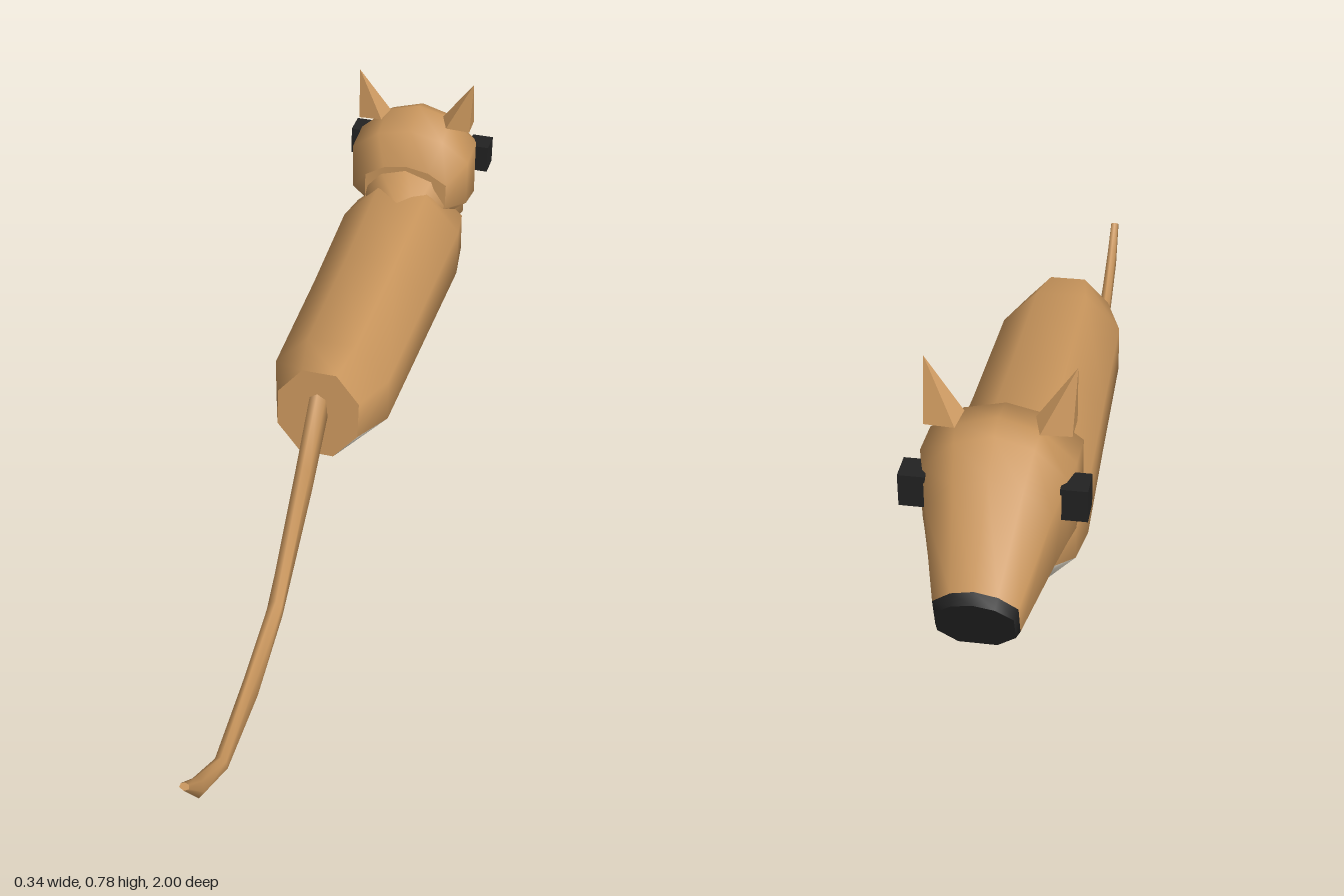
import * as THREE from 'three';

const FUR = new THREE.MeshStandardMaterial({ color: 0xc8955c });
const BELLY = new THREE.MeshStandardMaterial({ color: 0xd6cfc0 });
const DARK = new THREE.MeshStandardMaterial({ color: 0x222222 });

// Cross-sections (counter-clockwise seen from +z), unit half width and half height
const OCTAGON = [[1, -0.4], [1, 0.4], [0.42, 1], [-0.42, 1], [-1, 0.4], [-1, -0.4], [-0.42, -1], [0.42, -1]];
const PEAKED = [[1, -0.5], [1, 0.45], [0.55, 0.85], [0, 1], [-0.55, 0.85], [-1, 0.45], [-1, -0.5], [-0.5, -1], [0.5, -1]];
const HEXAGON = [[1, -0.3], [0.8, 0.7], [0, 1], [-0.8, 0.7], [-1, -0.3], [0, -1]];

// Points of one ring: [top z, top y, bottom z, bottom y, half width]
function ringPoints([tz, ty, bz, by, hw], section) {
  return section.map(([u, v]) => {
    const t = (v + 1) / 2;
    return [u * hw, by + (ty - by) * t, bz + (tz - bz) * t];
  });
}

// Smooth skin over rings that run towards -z; keep(j) selects the strips to show
function skin(rings, section, keep = () => true) {
  const n = section.length, all = [], shown = [];
  const pos = rings.flatMap((r) => ringPoints(r, section)).flat();
  for (let i = 0; i < rings.length - 1; i++) {
    for (let j = 0; j < n; j++) {
      const a = i * n + j, b = i * n + (j + 1) % n, d = a + n, c = b + n;
      const quad = [a, d, c, a, c, b];
      all.push(...quad);
      if (keep(j)) shown.push(...quad);
    }
  }
  const g = new THREE.BufferGeometry();
  g.setAttribute('position', new THREE.Float32BufferAttribute(pos, 3));
  g.setIndex(all);
  g.computeVertexNormals();
  g.setIndex(shown);
  return g;
}

// Flat end face of a ring, looking to +z or (flipped) to -z
function cap(ring, section, flip) {
  const g = new THREE.BufferGeometry(), idx = [];
  g.setAttribute('position', new THREE.Float32BufferAttribute(ringPoints(ring, section).flat(), 3));
  for (let j = 1; j < section.length - 1; j++) idx.push(0, ...(flip ? [j + 1, j] : [j, j + 1]));
  g.setIndex(idx);
  g.computeVertexNormals();
  return g;
}

function add(parent, name, geometry, material) {
  const mesh = new THREE.Mesh(geometry, material);
  mesh.name = name;
  parent.add(mesh);
  return mesh;
}

function group(parent, name) {
  const g = new THREE.Group();
  g.name = name;
  parent.add(g);
  return g;
}

function closedLoft(parent, name, rings, section, material) {
  const g = group(parent, name);
  add(g, name + 'Skin', skin(rings, section), material);
  add(g, name + 'Start', cap(rings[0], section, false), material);
  add(g, name + 'End', cap(rings[rings.length - 1], section, true), material);
  return g;
}

export function createModel() {
  const model = new THREE.Group();
  model.name = 'animal';

  // Body: fur on top, pale belly on the three lower strips
  const body = group(model, 'body');
  const bodyRings = [
    [0.115, 0.49, 0.14, 0.29, 0.09],
    [0.02, 0.503, 0.02, 0.247, 0.128],
    [-0.3, 0.512, -0.3, 0.24, 0.135],
    [-0.58, 0.53, -0.58, 0.235, 0.143],
    [-0.66, 0.51, -0.68, 0.26, 0.132],
    [-0.72, 0.46, -0.745, 0.31, 0.09],
  ];
  add(body, 'back', skin(bodyRings, OCTAGON, (j) => j < 5), FUR);
  add(body, 'belly', skin(bodyRings, OCTAGON, (j) => j >= 5), BELLY);
  add(body, 'rump', cap(bodyRings[0], OCTAGON, false), FUR);
  add(body, 'chest', cap(bodyRings[5], OCTAGON, true), FUR);

  // Neck rising into the head
  closedLoft(model, 'neck', [
    [-0.53, 0.525, -0.69, 0.31, 0.075],
    [-0.62, 0.572, -0.745, 0.37, 0.125],
    [-0.67, 0.59, -0.75, 0.41, 0.12],
  ], PEAKED, FUR);

  // Head tapering into the muzzle
  const head = group(model, 'head');
  const noseBase = [-0.985, 0.488, -0.952, 0.355, 0.076];
  const noseTip = [-1, 0.47, -0.963, 0.355, 0.07];
  const headRings = [
    [-0.615, 0.58, -0.61, 0.45, 0.1],
    [-0.65, 0.658, -0.66, 0.42, 0.143],
    [-0.735, 0.682, -0.75, 0.387, 0.143],
    [-0.775, 0.668, -0.78, 0.38, 0.132],
    [-0.84, 0.62, -0.83, 0.373, 0.115],
    noseBase,
  ];
  add(head, 'skull', skin(headRings, PEAKED), FUR);
  add(head, 'headBack', cap(headRings[0], PEAKED, false), FUR);
  add(head, 'noseRim', skin([noseBase, noseTip], PEAKED), DARK);
  add(head, 'nose', cap(noseTip, PEAKED, true), DARK);

  // Ears and eyes, mirrored
  const earBase = [[0.065, 0.675, -0.712], [0.077, 0.658, -0.745], [0.135, 0.657, -0.74], [0.136, 0.657, -0.685], [0.08, 0.662, -0.68]];
  const earTip = [0.139, 0.777, -0.7];
  for (const s of [1, -1]) {
    const side = s > 0 ? 'left' : 'right';
    const tris = [];
    earBase.forEach((p, i) => {
      const q = earBase[(i + 1) % 5];
      const faces = [[p, earTip, q]];
      if (i > 0 && i < 4) faces.push([earBase[0], p, q]);
      for (const f of faces) {
        const corners = s > 0 ? f : [f[0], f[2], f[1]];
        corners.forEach(([x, y, z]) => tris.push(s * x, y, z));
      }
    });
    const ear = new THREE.BufferGeometry();
    ear.setAttribute('position', new THREE.Float32BufferAttribute(tris, 3));
    ear.computeVertexNormals();
    add(head, side + 'Ear', ear, FUR);

    const eye = add(head, side + 'Eye', new THREE.BoxGeometry(0.05, 0.066, 0.056), DARK);
    eye.position.set(s * 0.147, 0.553, -0.775);
  }

  // Tail: drops from the rump, sags to the ground and curls up at the tip
  closedLoft(model, 'tail', [
    [0.99, 0.175, 1, 0.163, 0.01],
    [0.93, 0.125, 0.93, 0.06, 0.013],
    [0.805, 0.038, 0.81, 0.003, 0.015],
    [0.62, 0.082, 0.62, 0, 0.016],
    [0.44, 0.125, 0.46, 0.085, 0.018],
    [0.24, 0.335, 0.24, 0.235, 0.02],
    [0.13, 0.445, 0.12, 0.36, 0.022],
  ], HEXAGON, FUR);

  return model;
}
